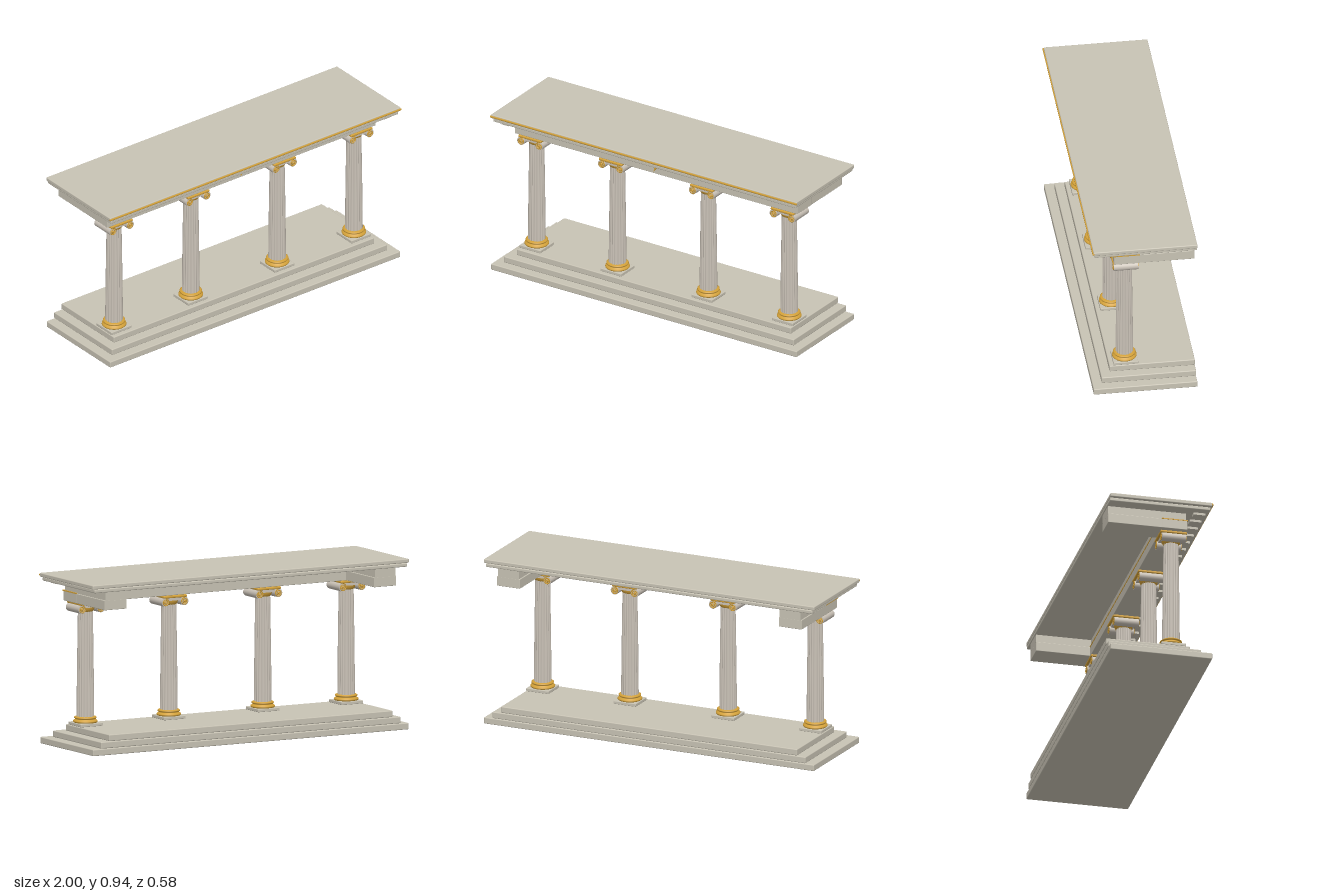
import * as THREE from 'three';
import { RoundedBoxGeometry } from 'three/addons/geometries/RoundedBoxGeometry.js';

const mat = (name, color) => new THREE.MeshStandardMaterial({ name, color });

export function createModel() {
  const stone = mat('stone', 0xc8c3b4);
  const marble = mat('pale marble', 0xcbc3b8);
  const gold = mat('gold', 0xd4a23a);
  const root = new THREE.Group();
  root.name = 'portico';

  const add = (parent, name, geometry, material, x = 0, y = 0, z = 0) => {
    const mesh = new THREE.Mesh(geometry, material);
    mesh.name = name;
    mesh.position.set(x, y, z);
    parent.add(mesh);
    return mesh;
  };
  // Block given by its limits on each axis; r > 0 rounds the edges
  const block = (parent, name, material, [x0, x1], [y0, y1], [z0, z1], r = 0) => {
    const size = [x1 - x0, y1 - y0, z1 - z0];
    const geometry = r ? new RoundedBoxGeometry(...size, 2, r) : new THREE.BoxGeometry(...size);
    return add(parent, name, geometry, material, (x0 + x1) / 2, (y0 + y1) / 2, (z0 + z1) / 2);
  };
  const lathe = (points) =>
    new THREE.LatheGeometry(points.map(([r, y]) => new THREE.Vector2(r, y)), 32);

  // Three steps, flush at the back
  [[0.995, 0.282], [0.944, 0.232], [0.893, 0.182]].forEach(([x, z], i) =>
    block(root, `step${i + 1}`, stone, [-x, x], [i * 0.0375, i * 0.0375 + 0.036], [-0.287, z], 0.005));

  // Fluted, tapering shaft
  const flutes = 20, y0 = 0.155, y1 = 0.745;
  const shaft = new THREE.CylinderGeometry(1, 1, y1 - y0, flutes * 6, 8, true);
  const p = shaft.attributes.position;
  for (let i = 0; i < p.count; i++) {
    const t = p.getY(i) / (y1 - y0) + 0.5;
    const a = Math.atan2(p.getZ(i), p.getX(i));
    const r = 0.0485 - 0.0075 * Math.pow(t, 1.3) - 0.0045 * Math.abs(Math.sin(a * flutes / 2));
    p.setX(i, Math.cos(a) * r);
    p.setZ(i, Math.sin(a) * r);
  }
  shaft.computeVertexNormals();

  // Moulded ring base and the cushion under the capital
  const base = lathe([[0.045, 0.127], [0.062, 0.127], [0.067, 0.132], [0.067, 0.137], [0.062, 0.142],
    [0.056, 0.146], [0.056, 0.149], [0.061, 0.152], [0.061, 0.157], [0.055, 0.161], [0.04, 0.161]]);
  const cushion = lathe([[0.038, 0.738], [0.044, 0.742], [0.05, 0.755], [0.053, 0.77], [0.05, 0.781]]);

  // Scroll line for the ends of the capital rolls
  const spiralPoints = [];
  for (let i = 0; i <= 28; i++) {
    const a = Math.PI / 2 + i / 28 * Math.PI * 4, r = 0.0215 - 0.016 * i / 28;
    spiralPoints.push(new THREE.Vector3(Math.cos(a) * r, Math.sin(a) * r, 0));
  }
  const spiral = new THREE.TubeGeometry(new THREE.CatmullRomCurve3(spiralPoints), 64, 0.0032, 6);
  const roll = new THREE.CylinderGeometry(0.0235, 0.0235, 0.136, 24).rotateX(Math.PI / 2);
  const eye = new THREE.SphereGeometry(0.0065, 12, 8);

  for (const x of [-0.822, -0.296, 0.296, 0.822]) {
    const column = new THREE.Group();
    column.name = 'column';
    column.position.set(x, 0, 0.091);
    root.add(column);
    block(column, 'plinth', stone, [-0.068, 0.068], [0.111, 0.128], [-0.068, 0.068], 0.003);
    add(column, 'base', base, gold);
    add(column, 'shaft', shaft, marble, 0, (y0 + y1) / 2);
    add(column, 'cushion', cushion, gold);
    block(column, 'capitalBlock', marble, [-0.058, 0.058], [0.764, 0.782], [-0.062, 0.062]);
    block(column, 'abacus', gold, [-0.074, 0.074], [0.78, 0.794], [-0.074, 0.074], 0.005);
    for (const side of [-1, 1]) {
      add(column, 'roll', roll, marble, side * 0.06, 0.758, 0);
      for (const end of [-1, 1]) {
        const scroll = add(column, 'scroll', spiral, gold, side * 0.06, 0.758, end * 0.068);
        scroll.rotation.y = side < 0 ? Math.PI : 0;
        add(column, 'scrollEye', eye, gold, side * 0.06, 0.758, end * 0.067);
      }
    }
  }

  // Beams: one across the front, one returning to the back at each end
  block(root, 'frontArchitrave', stone, [-0.92, 0.92], [0.795, 0.849], [0.02, 0.16], 0.003);
  block(root, 'frontFrieze', stone, [-0.914, 0.914], [0.847, 0.895], [0.026, 0.153]);
  block(root, 'beamTrim', gold, [-0.922, 0.922], [0.847, 0.853], [0.018, 0.164]);
  for (const s of [-1, 1]) {
    const span = (a, b) => s > 0 ? [a, b] : [-b, -a];
    block(root, 'sideArchitrave', stone, span(0.78, 0.919), [0.795, 0.849], [-0.282, 0.03], 0.003);
    block(root, 'sideFrieze', stone, span(0.786, 0.913), [0.847, 0.895], [-0.282, 0.03]);
  }

  // Dentils under the front overhang
  for (let i = 0; i < 21; i++) {
    const x = (i - 10) * 0.092;
    block(root, 'dentil', stone, [x - 0.022, x + 0.022], [0.881, 0.896], [0.19, 0.256]);
  }

  // Cornice slabs and the gold front edge
  block(root, 'lowerCornice', stone, [-0.985, 0.985], [0.894, 0.914], [-0.287, 0.275], 0.005);
  block(root, 'upperCornice', stone, [-0.997, 0.997], [0.915, 0.937], [-0.287, 0.283], 0.005);
  block(root, 'corniceTrim', gold, [-0.998, 0.998], [0.921, 0.931], [0.278, 0.289], 0.003);

  // Bolt ornament in the middle of the beam
  const bolt = new THREE.Shape([[0.008, 0.034], [-0.02, -0.004], [-0.003, -0.002], [-0.01, -0.034],
    [0.02, 0.008], [0.003, 0.006]].map(([x, y]) => new THREE.Vector2(x, y)));
  add(root, 'boltOrnament', new THREE.ExtrudeGeometry(bolt, { depth: 0.01, bevelEnabled: false }),
    gold, 0, 0.843, 0.16);

  return root;
}
